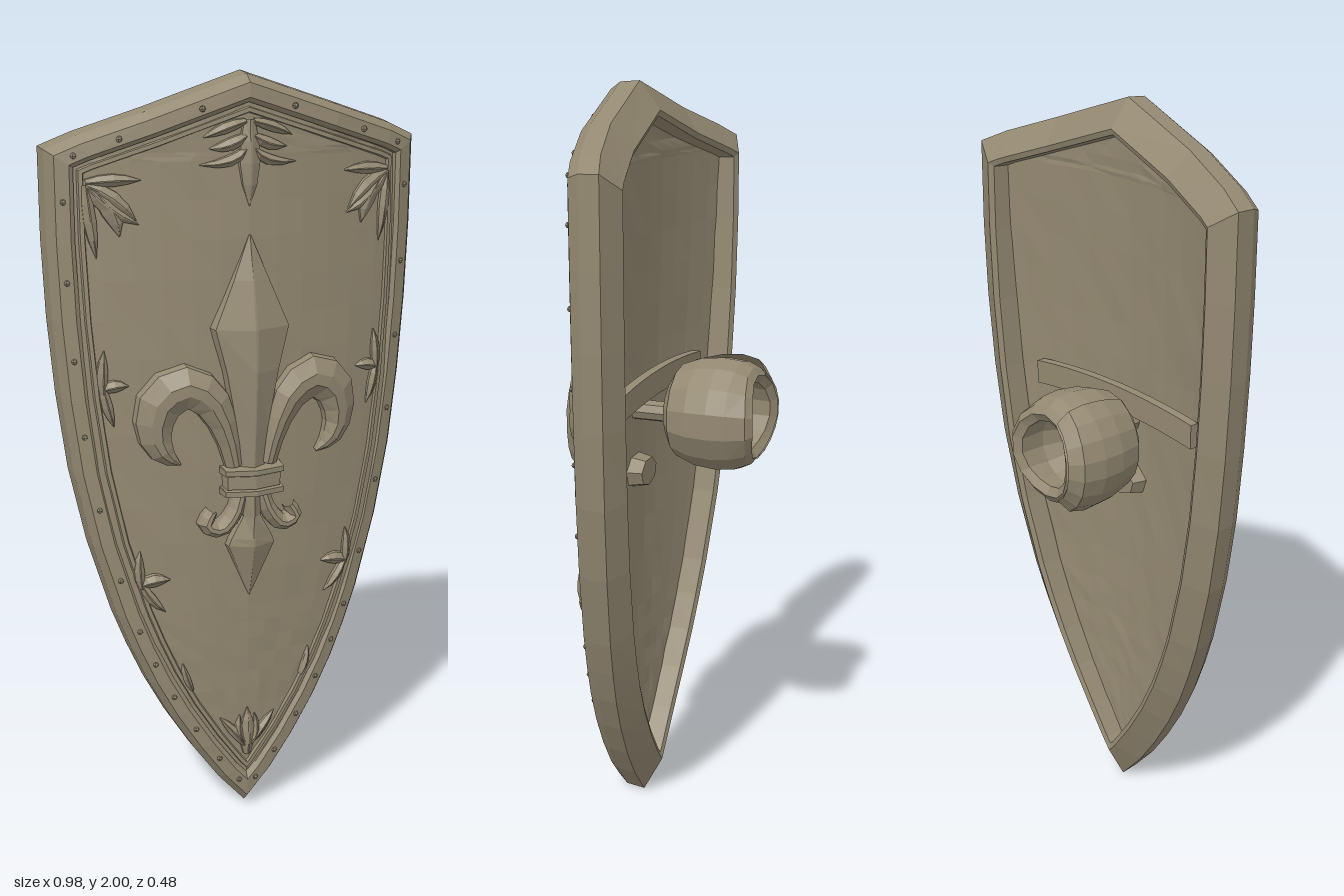
import * as THREE from 'three';

const stone = new THREE.MeshStandardMaterial({ color: 0x948972 });
stone.name = 'weathered stone';
stone.flatShading = true;
stone.side = THREE.DoubleSide;

// Right half of the outline, from the peak down to the point
const HALF = [[0, 2], [0.25, 1.915], [0.41, 1.86], [0.488, 1.825], [0.488, 1.6], [0.481, 1.4], [0.466, 1.2],
  [0.442, 1.0], [0.402, 0.8], [0.345, 0.6], [0.308, 0.5], [0.265, 0.4], [0.21, 0.295], [0.145, 0.19], [0.078, 0.095],
  [0, 0.005]];
const OUTLINE = [...HALF, ...HALF.slice(1, -1).reverse().map(([x, y]) => [-x, y])];

const bend = (x) => -0.4 * x * x;
const surf = (x, y) => 0.158 + 0.027 * Math.sin(Math.PI * y / 2) + bend(x) - 0.03 * Math.abs(x);
const noise = (a, b) => { const s = Math.sin(a * 127.1 + b * 311.7) * 43758.5; return s - Math.floor(s) - 0.5; };

// Outline moved inward by d, with mitred corners
function inset(d) {
  const n = OUTLINE.length;
  return OUTLINE.map((p, i) => {
    const a = OUTLINE[(i + n - 1) % n], b = OUTLINE[(i + 1) % n];
    const outward = (u, v) => {
      const dx = v[0] - u[0], dy = v[1] - u[1], l = Math.hypot(dx, dy);
      return [-dy / l, dx / l];
    };
    const n1 = outward(a, p), n2 = outward(p, b);
    const k = d / (1 + n1[0] * n2[0] + n1[1] * n2[1]);
    return [p[0] - (n1[0] + n2[0]) * k, p[1] - (n1[1] + n2[1]) * k];
  });
}

// Skin over rows of points, optionally closed either way
function loft(rows, closeRows = false, closeCols = false) {
  const m = rows[0].length, n = rows.length, index = [];
  for (let i = 0; i < (closeRows ? n : n - 1); i++) {
    for (let j = 0; j < (closeCols ? m : m - 1); j++) {
      const i2 = (i + 1) % n, j2 = (j + 1) % m;
      const a = i * m + j, b = i * m + j2, c = i2 * m + j, d = i2 * m + j2;
      index.push(a, b, c, b, d, c);
    }
  }
  const g = new THREE.BufferGeometry();
  g.setAttribute('position', new THREE.Float32BufferAttribute(rows.flat(2), 3));
  g.setIndex(index);
  g.computeVertexNormals();
  return g;
}

// Frame following the outline; profile is a list of [inset, z]
function frame(profile, zBase, closed) {
  const rings = profile.map(([d]) => inset(d));
  const rows = OUTLINE.map((_, i) => profile.map(([, z], j) => {
    const [x, y] = rings[j][i];
    return [x, y, z + zBase(x, y)];
  }));
  return loft(rows, true, closed);
}

// Raised ridge along a path of [x, y, half width, height] lying on the panel
function ridge(path, flat = 0.25) {
  const rows = path.map(([x, y, w, h], i) => {
    const a = path[Math.max(i - 1, 0)], b = path[Math.min(i + 1, path.length - 1)];
    const l = Math.hypot(b[0] - a[0], b[1] - a[1]) || 1;
    const nx = -(b[1] - a[1]) / l, ny = (b[0] - a[0]) / l;
    return [[1, -0.012], [0.92, h * 0.5], [flat, h], [-flat, h], [-0.92, h * 0.5], [-1, -0.012]].map(([s, up]) => {
      const px = x + nx * w * s, py = y + ny * w * s;
      return [px, py, surf(px, py) + up];
    });
  });
  return loft(rows);
}

// Smooths a short path into more sections
function smooth(path, count) {
  const c1 = new THREE.CatmullRomCurve3(path.map((p) => new THREE.Vector3(p[0], p[1], 0)));
  const c2 = new THREE.CatmullRomCurve3(path.map((p, i) => new THREE.Vector3(p[2], p[3], i)));
  return Array.from({ length: count + 1 }, (_, i) => {
    const a = c1.getPoint(i / count), b = c2.getPoint(i / count);
    return [a.x, a.y, Math.max(b.x, 0.001), b.y];
  });
}

const mirror = (path) => path.map(([x, ...rest]) => [-x, ...rest]);

export function createModel() {
  const root = new THREE.Group();
  root.name = 'shield';
  const add = (name, geometry, parent = root) => {
    const mesh = new THREE.Mesh(geometry, stone);
    mesh.name = name;
    parent.add(mesh);
    return mesh;
  };
  const group = (name) => {
    const g = new THREE.Group();
    g.name = name;
    root.add(g);
    return g;
  };

  // Rim, sloping back toward its inner edge, and the thin bead inside it
  add('rim', frame([[0, 0.095], [0.004, 0.148], [0.022, 0.174], [0.055, 0.178], [0.066, 0.168], [0.072, 0.13],
    [0.086, 0.1], [0.082, 0.045], [0.068, 0.04]], bend, true));
  add('innerBead', frame([[0.074, -0.006], [0.078, 0.009], [0.088, 0.009], [0.093, -0.006]], surf, false));

  // Curved panel, front and back, slightly uneven
  const edge = inset(0.05).slice(0, HALF.length), levels = [];
  edge.slice(0, -1).forEach((p, i) => {
    for (let s = 0; s < 2; s++) levels.push([0, 1].map((k) => p[k] + (edge[i + 1][k] - p[k]) * s / 2));
  });
  levels.push(edge[edge.length - 1]);
  const skin = (sign, depth) => loft(levels.map(([w, y], i) => Array.from({ length: 13 }, (_, j) => {
    const u = sign * (j / 6 - 1), x = u * w;
    return [x, y, surf(x, y) - depth + 0.003 * noise(i + depth, j)];
  })).reverse());
  add('panelFront', skin(1, 0));
  add('panelBack', skin(-1, 0.068));

  // Central lily emblem
  const emblem = group('emblem');
  add('upperBlade', ridge([[0, 1.0, 0.035, 0.035], [0, 1.12, 0.045, 0.045], [0, 1.27, 0.075, 0.055],
    [0, 1.38, 0.105, 0.054], [0, 1.5, 0.05, 0.032], [0, 1.61, 0.002, 0.005]], 0.03), emblem);
  add('lowerBlade', ridge([[0, 0.65, 0.002, 0.005], [0, 0.8, 0.068, 0.042], [0, 0.82, 0.06, 0.042],
    [0, 0.88, 0.025, 0.038], [0, 0.97, 0.04, 0.038]], 0.03), emblem);
  const petal = smooth([[0.045, 1.02, 0.025, 0.03], [0.07, 1.12, 0.035, 0.04], [0.115, 1.205, 0.052, 0.048],
    [0.175, 1.235, 0.06, 0.052], [0.235, 1.195, 0.058, 0.05], [0.25, 1.115, 0.045, 0.045],
    [0.225, 1.06, 0.03, 0.038], [0.185, 1.03, 0.004, 0.015]], 12);
  const curl = smooth([[0.025, 0.96, 0.022, 0.03], [0.045, 0.895, 0.022, 0.04], [0.085, 0.85, 0.024, 0.042],
    [0.122, 0.865, 0.022, 0.042], [0.105, 0.9, 0.016, 0.035]], 9);
  for (const flip of [(p) => p, mirror]) {
    add('sidePetal', ridge(flip(petal)), emblem);
    add('lowerCurl', ridge(flip(curl)), emblem);
  }
  for (const [y, h, w, z] of [[0.98, 0.05, 0.15, 0.05], [1.008, 0.02, 0.165, 0.057], [0.952, 0.02, 0.165, 0.057]]) {
    const e = w / 2;
    add('emblemBand', ridge([[-e, y, h / 2, -0.012], [-e + 0.004, y, h / 2, z - 0.012], [0, y, h / 2, z],
      [e - 0.004, y, h / 2, z - 0.012], [e, y, h / 2, -0.012]], 0.7), emblem);
  }

  // Leaf sprays around the border: [x, y, direction in degrees, length, half width, curve]
  const sprays = group('leafSprays');
  const leaf = ([x, y, deg, len, w, curve], flip) => {
    const a = deg * Math.PI / 180, path = [];
    for (let i = 0; i <= 4; i++) {
      const t = i / 4, side = curve * t * t * len;
      path.push([x + Math.cos(a) * len * t - Math.sin(a) * side, y + Math.sin(a) * len * t + Math.cos(a) * side,
        w * [0.5, 0.9, 1, 0.7, 0.05][i], 0.022 * [0.8, 1, 1, 0.8, 0.2][i]]);
    }
    add('leaf', ridge(flip ? mirror(path) : path, 0.1), sprays);
  };
  const paired = [
    [0.01, 1.85, -35, 0.09, 0.016, 0.3], [0.01, 1.82, -60, 0.09, 0.014, 0.9], [0.01, 1.885, -14, 0.11, 0.014, -0.1],
    [0.395, 1.745, 172, 0.13, 0.016, 0.1], [0.395, 1.74, 200, 0.14, 0.02, 0.3], [0.395, 1.74, 235, 0.15, 0.02, -0.3],
    [0.395, 1.74, 266, 0.18, 0.016, -0.05], [0.37, 1.72, 222, 0.11, 0.024, 0.4],
    [0.37, 1.22, 88, 0.11, 0.014, 0.1], [0.37, 1.23, 150, 0.06, 0.016, 0.4], [0.37, 1.24, 262, 0.11, 0.014, -0.1],
    [0.285, 0.69, 78, 0.1, 0.014, 0.2], [0.285, 0.7, 150, 0.07, 0.018, 0.4], [0.285, 0.7, 244, 0.1, 0.014, -0.2],
    [0.155, 0.385, 62, 0.08, 0.01, 0.2], [0.01, 0.2, 58, 0.11, 0.014, -0.1], [0.01, 0.21, 40, 0.06, 0.012, 0.9]];
  for (const p of paired) for (const flip of [false, true]) leaf(p, flip);
  leaf([0, 1.89, -90, 0.21, 0.028, 0], false);
  leaf([0, 0.17, 90, 0.14, 0.022, 0], false);

  // Rivets along the rim
  const rivets = group('rivets'), line = inset(0.04);
  line.forEach((p, i) => {
    const q = line[(i + 1) % line.length], x = (p[0] + q[0]) / 2, y = (p[1] + q[1]) / 2;
    add('rivet', new THREE.SphereGeometry(0.008, 6, 4), rivets).position.set(x, y, 0.175 + bend(x));
  });

  // Strap across the back
  const strap = new THREE.BoxGeometry(0.62, 0.065, 0.025, 10, 1, 1), pos = strap.attributes.position;
  for (let i = 0; i < pos.count; i++) {
    const x = pos.getX(i);
    pos.setZ(i, pos.getZ(i) + 0.056 - 0.04 * x * x);
    pos.setY(i, pos.getY(i) - 0.2 * x * x);
  }
  strap.computeVertexNormals();
  add('backStrap', strap).position.y = 1.225;

  // Hollow rounded grip, open to the back, with its overlapping wrap
  const grip = group('grip');
  const cup = (profile, start, length, segments) => {
    const g = new THREE.LatheGeometry(profile.map(([r, z]) => new THREE.Vector2(r, z)), segments, start, length);
    g.rotateX(-Math.PI / 2);
    const p = g.attributes.position;
    for (let i = 0; i < p.count; i++) {
      const x = p.getX(i), y = p.getY(i), z = p.getZ(i);
      if (z < -0.18) p.setZ(i, z - 0.008 + 0.022 * y * y / (x * x + y * y));
    }
    g.computeVertexNormals();
    return g;
  };
  add('gripCup', cup([[0.001, -0.03], [0.08, -0.022], [0.125, 0.005], [0.146, 0.06], [0.152, 0.12], [0.147, 0.17],
    [0.132, 0.215], [0.112, 0.23], [0.09, 0.215], [0.095, 0.15], [0.07, 0.08], [0.001, 0.06]], 0, Math.PI * 2, 14), grip);
  add('gripWrap', cup([[0.09, -0.018], [0.14, 0.02], [0.16, 0.09], [0.165, 0.15], [0.155, 0.205], [0.12, 0.23],
    [0.105, 0.215]], Math.PI * 1.15, Math.PI * 0.7, 7), grip);
  grip.position.set(-0.045, 1.14, 0);

  // Stem joining grip and panel, and a flat boss below
  const stem = add('gripStem', new THREE.CylinderGeometry(0.028, 0.028, 0.1, 8));
  stem.rotation.x = Math.PI / 2;
  stem.position.set(-0.005, 1.14, 0.07);
  const boss = add('backBoss', new THREE.CylinderGeometry(0.07, 0.055, 0.05, 7));
  boss.rotation.x = Math.PI / 2;
  boss.scale.z = 0.7;
  boss.position.set(0, 0.97, 0.1);
  return root;
}
